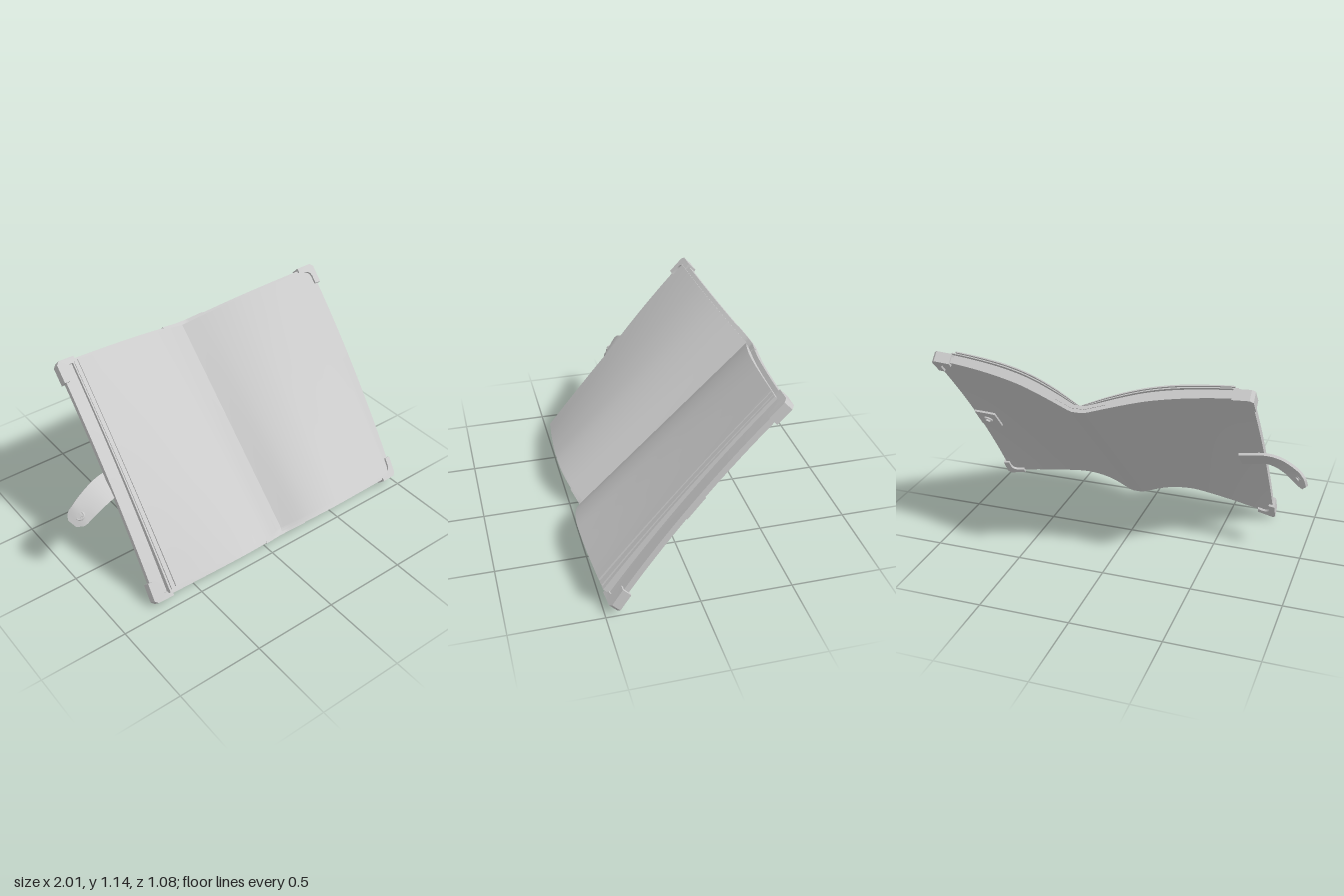
import * as THREE from 'three';
import { toCreasedNormals } from 'three/addons/utils/BufferGeometryUtils.js';

// Book frame: x across from the gutter, y along the spine, z out of the pages.
const LENGTH = 1.355, THICK = 0.035;
const STEPS = [0, 0.15, 0.3, 0.45, 0.6, 0.75, 0.9];
const lerp = THREE.MathUtils.lerp;

// Smooth height profile over the distance from the gutter
function profile(values) {
  const curve = new THREE.CubicInterpolant(STEPS, values, 1, [0]);
  return d => curve.evaluate(Math.min(d, 0.9))[0];
}
const coverFoot = profile([0, 0.055, 0.075, 0.062, 0.04, 0.015, -0.012]);
const coverHead = profile([0, 0.055, 0.105, 0.14, 0.165, 0.182, 0.19]);
const pageFoot = profile([0.05, 0.14, 0.18, 0.178, 0.163, 0.14, 0.12]);
const pageHead = profile([0.045, 0.12, 0.18, 0.22, 0.243, 0.258, 0.266]);

// Back face of the cover: flat at the spine, bowed towards the outer edges
function coverBack(x, y) {
  const t = y / LENGTH, d = Math.max(0, Math.abs(x) - 0.035);
  const bow = 0.14 * t * (1 - t) * (d / 0.85) ** 2;
  return lerp(coverFoot(d) + 0.012 * x, coverHead(d), t) + bow;
}
const coverFront = (x, y) => coverBack(x, y) + THICK;

// Height inside the page stack: 0 on the cover, 1 on the open page
const stack = k => (x, y) => {
  const t = y / LENGTH, d = Math.abs(x);
  const bow = 0.06 * t * (1 - t) * (d / 0.85) ** 2;
  const top = lerp(pageFoot(d) + 0.012 * x, pageHead(d), t) + bow;
  return lerp(coverFront(x, y), Math.max(top, coverFront(x, y) + 0.004), k);
};

const material = new THREE.MeshStandardMaterial({ color: 0xcccccc, roughness: 0.8 });

function part(name, geometry) {
  const mesh = new THREE.Mesh(toCreasedNormals(geometry, 0.6), material);
  mesh.name = name;
  return mesh;
}

// Move every vertex by a rule
function bend(geometry, rule) {
  const p = geometry.attributes.position, v = new THREE.Vector3();
  for (let i = 0; i < p.count; i++) {
    v.fromBufferAttribute(p, i);
    rule(v);
    p.setXYZ(i, v.x, v.y, v.z);
  }
  return geometry;
}

// Curved sheet between two height functions
function slab(name, x0, x1, y0, y1, low, high, nx = 28, ny = 12) {
  const g = bend(new THREE.BoxGeometry(1, 1, 1, nx, ny, 1), v => {
    const x = lerp(x0, x1, v.x + 0.5), y = lerp(y0, y1, v.y + 0.5);
    v.set(x, y, v.z > 0 ? high(x, y) : low(x, y));
  });
  return part(name, g);
}

// L-shaped guard wrapping one cover corner
function cornerGuard(sx, atHead) {
  const sy = atHead ? -1 : 1;
  const px = a => sx * (0.886 - a), py = b => (atHead ? LENGTH + 0.012 : -0.012) + sy * b;
  const s = new THREE.Shape();
  s.moveTo(px(0.018), py(0));
  s.lineTo(px(0.11), py(0));
  s.lineTo(px(0.11), py(0.035));
  s.lineTo(px(0.075), py(0.035));
  s.quadraticCurveTo(px(0.038), py(0.038), px(0.035), py(0.075));
  s.lineTo(px(0.035), py(0.12));
  s.lineTo(px(0), py(0.12));
  s.lineTo(px(0), py(0.018));
  s.closePath();
  const g = new THREE.ExtrudeGeometry(s, { depth: THICK + 0.026, bevelEnabled: false, curveSegments: 6 });
  return part('cornerGuard', bend(g, v => { v.z += coverBack(v.x, v.y) - 0.013; }));
}

// Curved strap, attached behind the cover and drooping at its free end
function strap() {
  const centre = new THREE.CatmullRomCurve3([
    [-0.74, 0.675, 0.095], [-0.81, 0.675, 0.106], [-0.88, 0.67, 0.118],
    [-0.95, 0.65, 0.112], [-1.02, 0.62, 0.085], [-1.065, 0.595, 0.055], [-1.105, 0.575, 0.015],
  ].map(p => new THREE.Vector3(...p)));
  const g = bend(new THREE.BoxGeometry(1, 1, 1, 24, 4, 1), v => {
    const t = 0.5 - v.x;
    const c = centre.getPoint(t), d = centre.getTangent(t);
    const across = new THREE.Vector3(d.y, -d.x, 0).normalize();
    const up = new THREE.Vector3().crossVectors(across, d).normalize();
    let width = t < 0.45 ? 0.145 : lerp(0.145, 0.115, (t - 0.45) / 0.55);
    if (t > 0.9) width *= 1 - 5 * (t - 0.9);
    v.copy(c.addScaledVector(across, v.y * width).addScaledVector(up, Math.abs(up.z) / up.z * v.z * 0.016));
  });
  return part('claspStrap', g);
}

// Ring with a centre cap
function snap(name, x, y, z, tilt, radius) {
  const group = new THREE.Group();
  group.name = name;
  const ring = part('snapRing', new THREE.TorusGeometry(radius, radius * 0.25, 8, 24));
  const cap = part('snapCap', new THREE.CylinderGeometry(radius * 0.55, radius * 0.55, 0.03, 20).rotateX(Math.PI / 2));
  group.add(ring, cap);
  group.position.set(x, y, z);
  group.rotation.y = tilt;
  return group;
}

export function createModel() {
  const model = new THREE.Group();
  model.name = 'openBook';
  const book = new THREE.Group();
  book.name = 'tiltedBook';
  model.add(book);

  // Cover and the lining inside the spine
  book.add(slab('cover', -0.873, 0.873, 0, LENGTH, coverBack, coverFront, 64, 16));
  book.add(slab('spineLining', -0.14, 0.14, -0.004, LENGTH + 0.004,
    (x, y) => coverFront(x, y) - 0.015, (x, y) => coverFront(x, y) + 0.004, 16, 8));

  // Page stacks fanning out from the gutter: [name, width, foot, head, low, high]
  const layers = [
    ['pageBlock', 0.8, 0.012, 1.33, 0, 0.5],
    ['middlePages', 0.795, 0.026, 1.334, 0.64, 0.76],
    ['topPages', 0.775, 0.034, 1.336, 0.86, 1],
  ];
  for (const side of [-1, 1]) {
    for (const [name, w, foot, head, low, high] of layers) {
      book.add(slab(name, side < 0 ? -w : 0, side < 0 ? 0 : w, foot, head, stack(low), stack(high)));
    }
    book.add(cornerGuard(side, false), cornerGuard(side, true));
  }

  // Clasp: strap on one cover, plate with stud on the back of the other
  book.add(strap());
  book.add(snap('strapSnap', -1.065, 0.595, 0.058, -0.72, 0.024));
  book.add(slab('claspPlate', 0.735, 0.865, 0.6, 0.745,
    (x, y) => coverBack(x, y) - 0.012, (x, y) => coverBack(x, y) + 0.01, 4, 4));
  book.add(snap('plateStud', 0.8, 0.672, coverBack(0.8, 0.672) - 0.015, -0.12, 0.024));

  // Lean the book back
  book.rotation.x = -0.807;
  book.position.set(0.11, 0.03, 0.43);
  return model;
}
